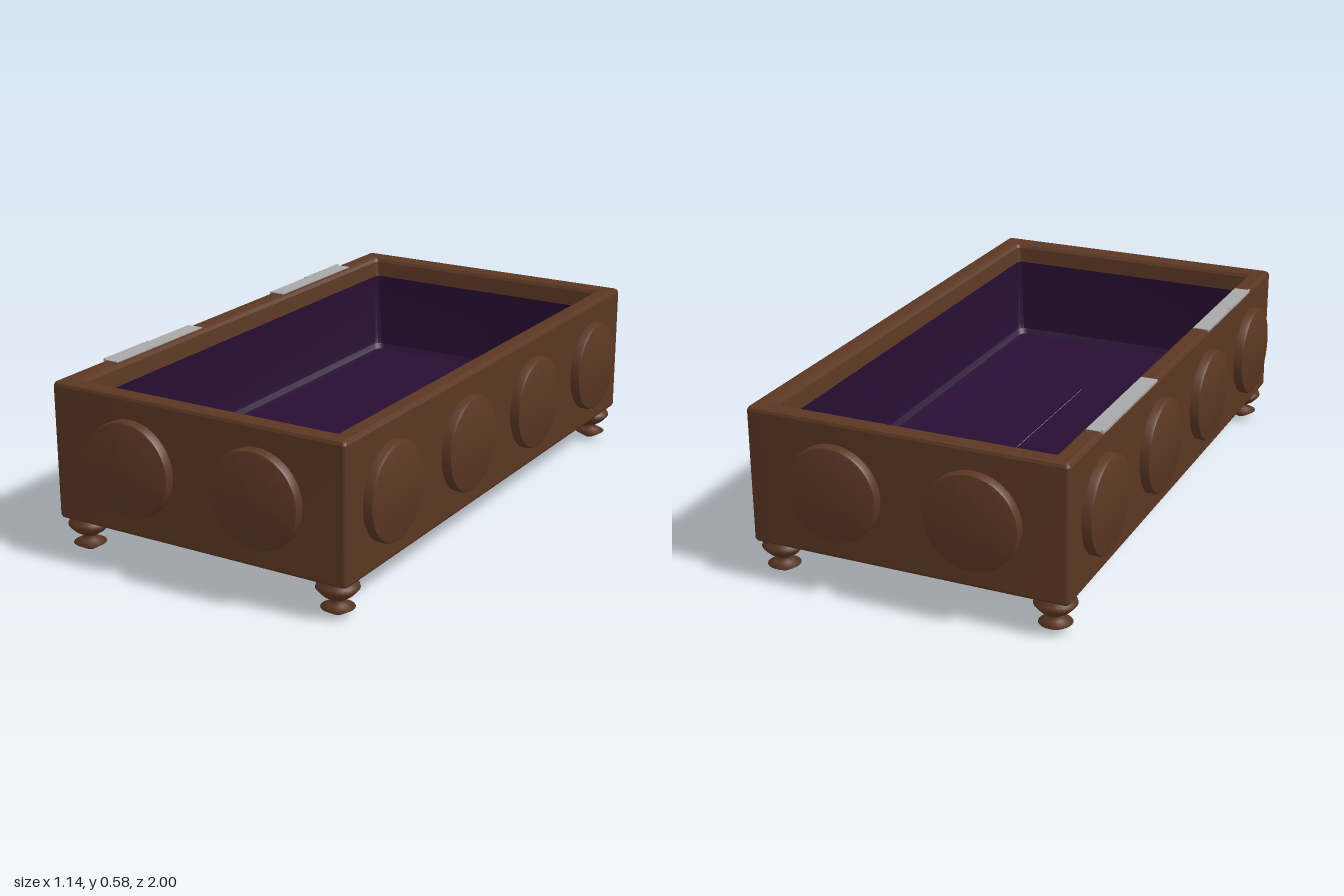
import * as THREE from 'three';
import { toCreasedNormals } from 'three/addons/utils/BufferGeometryUtils.js';

const HALF_X = 0.535, HALF_Z = 0.965;

const material = (name, color) => {
  const m = new THREE.MeshStandardMaterial({ color });
  m.name = name;
  return m;
};

// Skin through rounded-rectangle loops; each profile row is [inset, y, cornerRadius]
function rectLoft(profile, segs = 4) {
  const pos = [], index = [], n = 4 * (segs + 1);
  for (const [inset, y, r] of profile) {
    for (let c = 0; c < 4; c++) {
      const sx = c === 0 || c === 3 ? 1 : -1, sz = c < 2 ? 1 : -1;
      for (let s = 0; s <= segs; s++) {
        const a = (c + s / segs) * Math.PI / 2;
        pos.push(sx * (HALF_X - inset - r) + r * Math.cos(a), y,
          sz * (HALF_Z - inset - r) + r * Math.sin(a));
      }
    }
  }
  for (let i = 0; i < profile.length - 1; i++) {
    for (let j = 0; j < n; j++) {
      const a = i * n + j, b = i * n + (j + 1) % n;
      index.push(a, a + n, b, b, a + n, b + n);
    }
  }
  const g = new THREE.BufferGeometry();
  g.setAttribute('position', new THREE.Float32BufferAttribute(pos, 3));
  g.setIndex(index);
  return toCreasedNormals(g, 0.35);
}

const lathe = (points, segs) =>
  new THREE.LatheGeometry(points.map(([r, y]) => new THREE.Vector2(r, y)), segs);

export function createModel() {
  const group = new THREE.Group();
  group.name = 'openChest';
  const wood = material('brown wood', 0x5b3723);
  const lining = material('purple lining', 0x270e33);
  const metal = material('grey metal', 0xa8a8a8);

  const add = (name, geometry, mat, x = 0, y = 0, z = 0) => {
    const mesh = new THREE.Mesh(geometry, mat);
    mesh.name = name;
    mesh.position.set(x, y, z);
    group.add(mesh);
    return mesh;
  };

  // Wooden case: underside, walls, rounded rim and inner lip
  add('case', rectLoft([
    [0.534, 0.113, 0.001], [0.012, 0.113, 0.008], [0.004, 0.117, 0.012], [0, 0.125, 0.014],
    [0, 0.558, 0.014], [0.004, 0.567, 0.012], [0.012, 0.571, 0.008],
    [0.052, 0.571, 0.008], [0.062, 0.566, 0.012], [0.068, 0.555, 0.016], [0.073, 0.5, 0.02],
  ]), wood);

  // Fabric lining with a soft fillet around the floor
  add('lining', rectLoft([
    [0.073, 0.5, 0.02], [0.075, 0.25, 0.03], [0.08, 0.228, 0.03], [0.093, 0.211, 0.03],
    [0.115, 0.203, 0.03], [0.534, 0.203, 0.001],
  ]), lining);

  // Round medallions: two on each end, four on each long side
  const disc = toCreasedNormals(lathe([
    [0.157, -0.005], [0.157, 0.024], [0.154, 0.031], [0.147, 0.034], [0, 0.034],
  ], 48), 0.5);
  for (const side of [1, -1]) {
    for (const x of [-0.233, 0.233]) {
      add('endMedallion', disc, wood, x, 0.342, side * HALF_Z).rotation.x = side * Math.PI / 2;
    }
    for (const z of [-0.713, -0.237, 0.237, 0.713]) {
      add('sideMedallion', disc, wood, side * HALF_X, 0.342, z).rotation.z = -side * Math.PI / 2;
    }
  }

  // Turned feet
  const foot = lathe([
    [0, 0], [0.014, 0.001], [0.03, 0.01], [0.053, 0.024], [0.03, 0.037], [0.02, 0.045],
    [0.026, 0.052], [0.046, 0.064], [0.058, 0.076], [0.068, 0.088], [0.064, 0.1],
    [0.056, 0.108], [0.054, 0.118],
  ], 24);
  for (const x of [-0.468, 0.468]) {
    for (const z of [-0.9, 0.9]) add('foot', foot, wood, x, 0, z);
  }

  // Hinge leaves on the rim, each with a small knuckle on the outer half
  const leaf = new THREE.BoxGeometry(0.056, 0.008, 0.46);
  const knuckle = new THREE.CylinderGeometry(0.004, 0.004, 0.23, 10);
  for (const side of [1, -1]) {
    add('hingeLeaf', leaf, metal, -0.508, 0.569, side * 0.48);
    add('hingeKnuckle', knuckle, metal, -0.533, 0.573, side * 0.595).rotation.x = Math.PI / 2;
  }
  return group;
}
